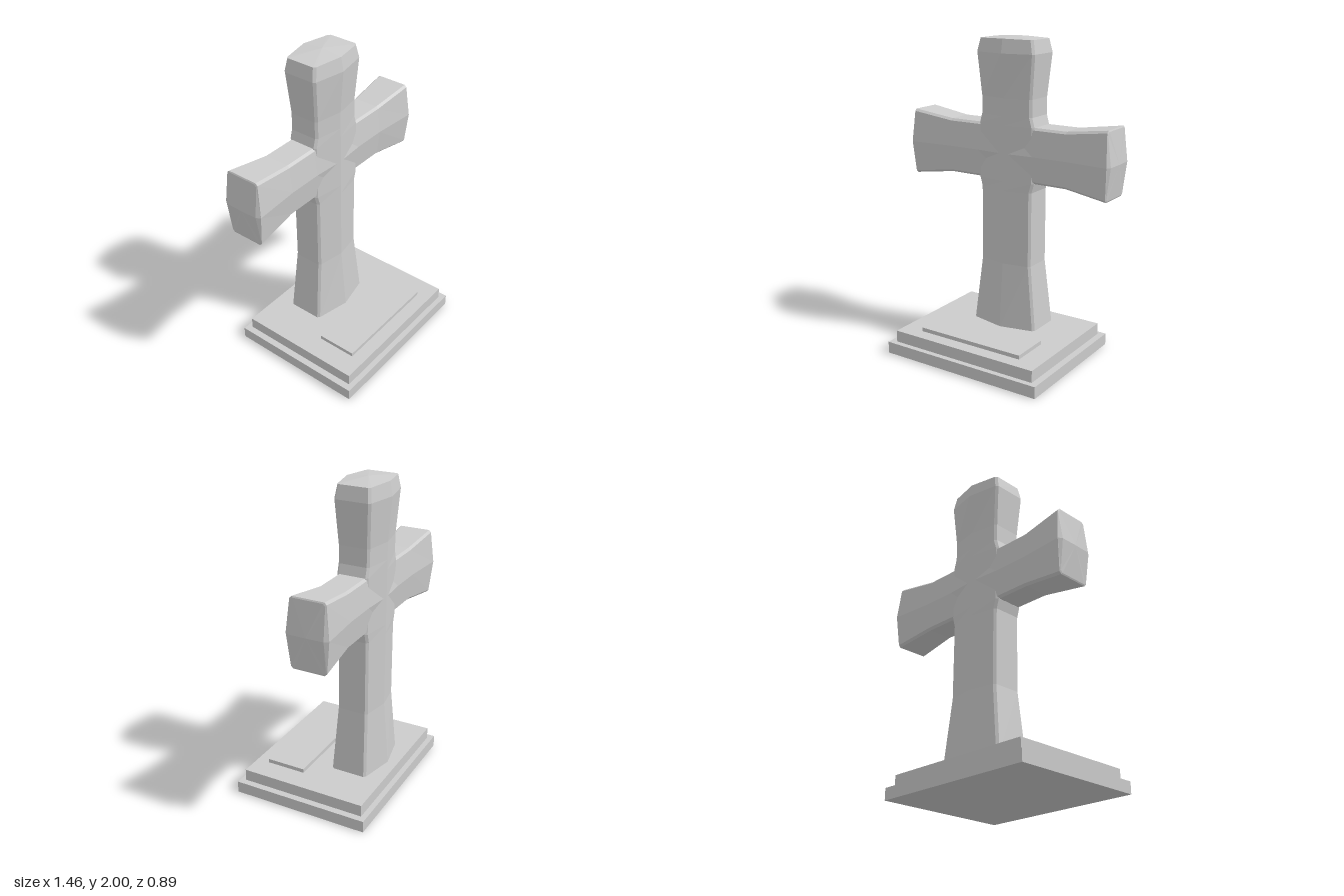
import * as THREE from 'three';

const material = new THREE.MeshStandardMaterial({ color: 0xcccccc, flatShading: true, side: THREE.DoubleSide });
const CROSS_Z = -0.18;

// Loft a ridged, chamfered section along y.
// Row: [y, half width, edge half depth, ridge half depth, ridge y shift]
function loft(rows, bottomY, topY) {
  const c = 0.014, n = 10, pos = [], index = [];
  for (const [y, w, d, r, bow = 0] of rows) {
    const front = [[w, d - c], [w - c, d], [0, r], [c - w, d], [-w, d - c]];
    const ring = [...front, ...front.map(([x, z]) => [-x, -z])];
    for (const [x, z] of ring) pos.push(x, y + (x === 0 ? bow : 0), z);
  }
  for (let k = 0; k < rows.length - 1; k++) {
    for (let i = 0; i < n; i++) {
      const a = k * n + i, b = k * n + (i + 1) % n;
      index.push(a, a + n, b, b, a + n, b + n);
    }
  }
  // Shallow end caps
  const low = pos.length / 3, high = low + 1, last = (rows.length - 1) * n;
  pos.push(0, bottomY, 0, 0, topY, 0);
  for (let i = 0; i < n; i++) {
    const j = (i + 1) % n;
    index.push(low, i, j, high, last + j, last + i);
  }
  const geometry = new THREE.BufferGeometry();
  geometry.setAttribute('position', new THREE.Float32BufferAttribute(pos, 3));
  geometry.setIndex(index);
  geometry.computeVertexNormals();
  return geometry;
}

export function createModel() {
  const group = new THREE.Group();
  const add = (name, geometry, x, y, z) => {
    const mesh = new THREE.Mesh(geometry, material);
    mesh.name = name;
    mesh.position.set(x, y, z);
    group.add(mesh);
    return mesh;
  };

  // Stepped base and front plaque
  add('lowerStep', new THREE.BoxGeometry(1.1, 0.075, 0.89), 0, 0.0375, 0);
  add('upperStep', new THREE.BoxGeometry(1.015, 0.075, 0.82), 0, 0.1125, 0);
  add('plaque', new THREE.BoxGeometry(0.73, 0.025, 0.255), 0, 0.1625, 0.197);

  // Upright, flared at foot and head, widened where the arms meet it
  add('upright', loft([
    [0.15, 0.23, 0.118, 0.165],
    [0.57, 0.183, 0.1, 0.13],
    [1.05, 0.183, 0.1, 0.13],
    [1.11, 0.2, 0.1, 0.13],
    [1.46, 0.2, 0.1, 0.13],
    [1.52, 0.183, 0.1, 0.13],
    [1.63, 0.183, 0.1, 0.13],
    [1.9, 0.208, 0.115, 0.152],
    [1.983, 0.19, 0.104, 0.137, 0.004],
  ], 0.15, 2), 0, 0, CROSS_Z);

  // Crossbar, mirrored about its middle
  const half = [
    [0.2, 0.175, 0.094, 0.113],
    [0.42, 0.175, 0.094, 0.113],
    [0.7, 0.214, 0.113, 0.134, 0.012],
    [0.704, 0.206, 0.106, 0.108, 0.024],
  ];
  const mirrored = half.map(([y, w, d, r, bow = 0]) => [-y, w, d, r, -bow]).reverse();
  const bar = loft([...mirrored, [0, 0.175, 0.094, 0.127], ...half], -0.73, 0.73);
  add('crossbar', bar, 0, 1.286, CROSS_Z).rotation.z = -Math.PI / 2;

  return group;
}
